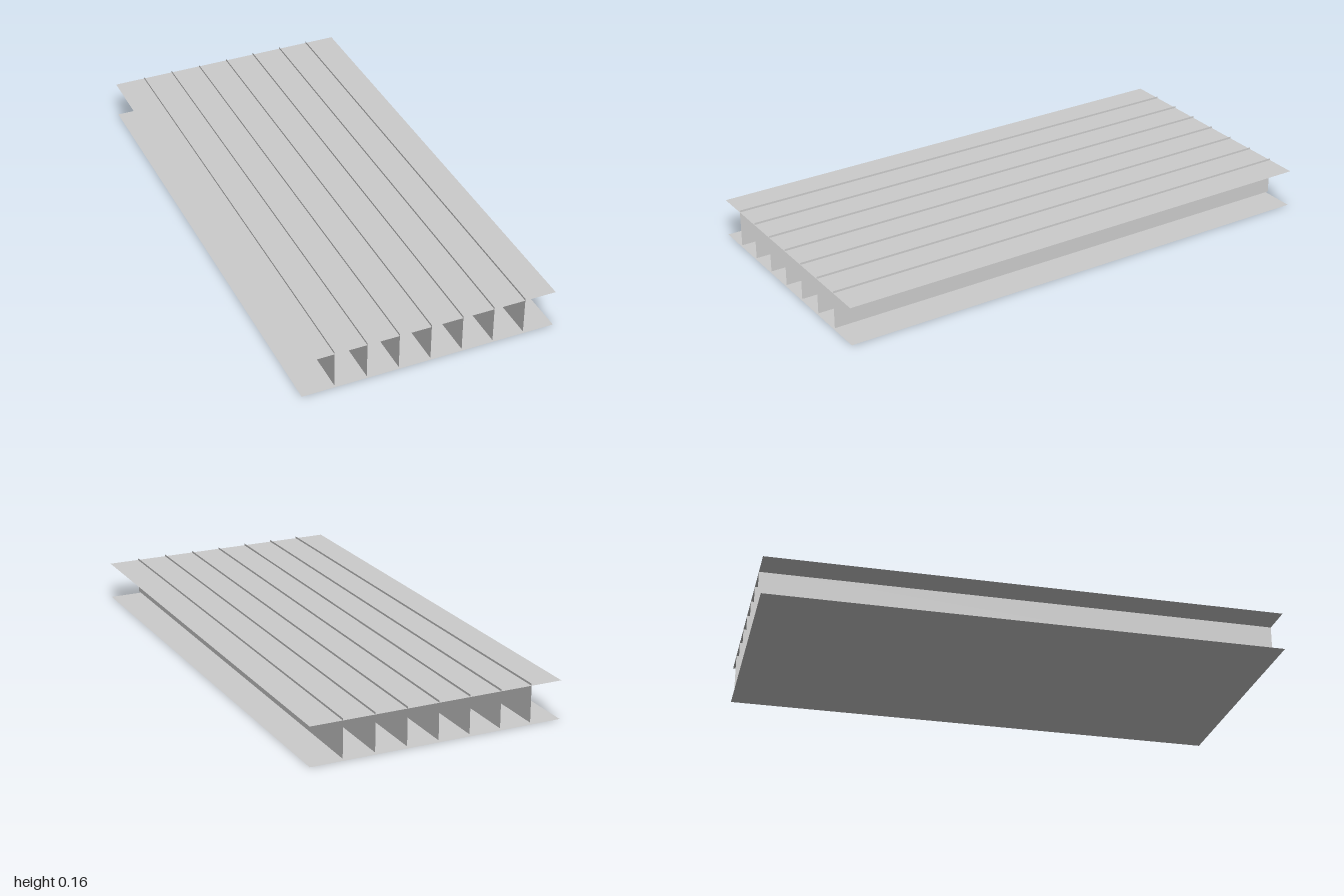
import * as THREE from 'three';

export function createModel() {
  const model = new THREE.Group();
  const material = new THREE.MeshStandardMaterial({ color: 0xcccccc, side: THREE.DoubleSide, flatShading: true });
  const length = 2, width = 1, depth = 0.15, lift = 0.008, cells = 8;

  // Thin horizontal skins
  const skin = new THREE.PlaneGeometry(width, length).rotateX(-Math.PI / 2);
  const addSkin = (name, y) => {
    const mesh = new THREE.Mesh(skin, material);
    mesh.name = name;
    mesh.position.y = y;
    model.add(mesh);
  };
  addSkin('bottomSheet', 0);
  addSkin('topSheet', depth);

  // Upright webs between the cells, standing slightly proud of the top sheet
  const web = new THREE.PlaneGeometry(length, depth).rotateY(Math.PI / 2);
  const webs = new THREE.Group();
  webs.name = 'webs';
  for (let i = 1; i < cells; i++) {
    const mesh = new THREE.Mesh(web, material);
    mesh.name = 'web' + i;
    mesh.position.set(-width / 2 + (i * width) / cells, lift + depth / 2, 0);
    webs.add(mesh);
  }
  model.add(webs);
  return model;
}
